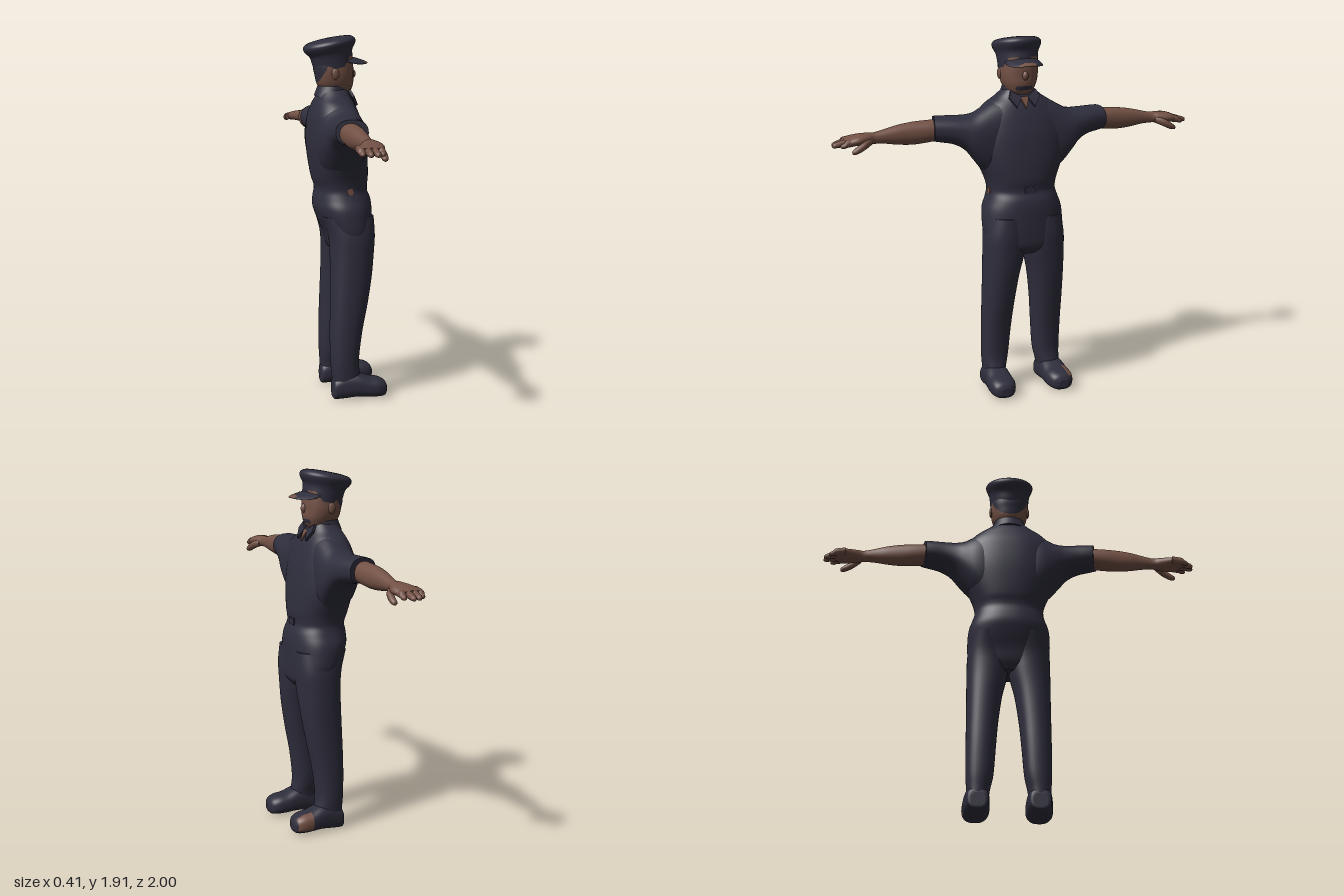
import * as THREE from 'three';

const navy = new THREE.MeshStandardMaterial({ color: 0x2f2e3d });
navy.name = 'navy cloth';
const skin = new THREE.MeshStandardMaterial({ color: 0x735145 });
skin.name = 'brown skin';

// Smooth closed loft. Each section is [t, uMin, uMax, vMin, vMax] along an axis:
// y -> (u, v) = (x, z);  z -> (x, y);  x -> (y, z). Sections run up the axis.
function loft(axis, sections, power = 2, seg = 40, steps = 5) {
  const rows = [], last = sections.length - 1;
  const at = i => sections[Math.min(last, Math.max(0, i))];
  for (let i = 0; i < last; i++) {
    for (let s = 0; s < steps + (i === last - 1 ? 1 : 0); s++) {
      const f = s / steps;
      rows.push(at(i).map((b, c) => {
        const a = at(i - 1)[c], d = at(i + 1)[c], e = at(i + 2)[c];
        return b + 0.5 * f * (d - a + f * (2 * a - 5 * b + 4 * d - e + f * (3 * (b - d) + e - a)));
      }));
    }
  }
  const pos = [], idx = [];
  const put = (t, u, v) => pos.push(...(axis === 'y' ? [u, t, v] : axis === 'z' ? [u, v, t] : [t, u, v]));
  const ring = ([t, u0, u1, v0, v1]) => {
    for (let j = 0; j < seg; j++) {
      const a = j / seg * Math.PI * 2, c = Math.cos(a), s = Math.sin(a) * (axis === 'y' ? -1 : 1);
      const round = q => Math.sign(q) * Math.abs(q) ** (2 / power);
      put(t, (u0 + u1 + (u1 - u0) * round(c)) / 2, (v0 + v1 + (v1 - v0) * round(s)) / 2);
    }
  };
  rows.forEach(ring);
  for (let k = 0; k < rows.length - 1; k++) {
    for (let j = 0; j < seg; j++) {
      const a = k * seg + j, b = k * seg + (j + 1) % seg;
      idx.push(a, b, b + seg, a, b + seg, a + seg);
    }
  }
  // end lids with their own rings, so the rims stay crisp
  [rows[0], rows[rows.length - 1]].forEach((r, end) => {
    const base = pos.length / 3;
    ring(r);
    put(r[0], (r[1] + r[2]) / 2, (r[3] + r[4]) / 2);
    for (let j = 0; j < seg; j++) {
      const a = base + j, b = base + (j + 1) % seg;
      idx.push(base + seg, end ? a : b, end ? b : a);
    }
  });
  const g = new THREE.BufferGeometry();
  g.setAttribute('position', new THREE.Float32BufferAttribute(pos, 3));
  g.setIndex(idx);
  g.computeVertexNormals();
  return g;
}

// Mirror a geometry across z and restore its winding
function mirrorZ(geo) {
  const g = geo.clone().scale(1, 1, -1), i = g.index.array;
  for (let k = 0; k < i.length; k += 3) [i[k], i[k + 1]] = [i[k + 1], i[k]];
  g.computeVertexNormals();
  return g;
}

// Split triangles into [navy, skin] groups by a rule on the triangle centre
function split(geo, isSkin) {
  const p = geo.attributes.position, parts = [[], []], i = geo.index.array;
  for (let k = 0; k < i.length; k += 3) {
    const t = [i[k], i[k + 1], i[k + 2]];
    const mid = f => (p[f](t[0]) + p[f](t[1]) + p[f](t[2])) / 3;
    parts[isSkin(mid('getX'), mid('getY'), mid('getZ')) ? 1 : 0].push(...t);
  }
  geo.setIndex([...parts[0], ...parts[1]]);
  geo.addGroup(0, parts[0].length, 0);
  geo.addGroup(parts[0].length, parts[1].length, 1);
  return geo;
}

export function createModel() {
  const model = new THREE.Group();
  const add = (name, geo, mat) => {
    const m = new THREE.Mesh(geo, mat);
    m.name = name;
    model.add(m);
    return m;
  };
  const pair = (name, geo, mat) => {
    add('left' + name, geo, mat);
    add('right' + name, mirrorZ(geo), mat);
  };
  const ball = (rx, ry, rz, x, y, z) => new THREE.SphereGeometry(1, 24, 16).scale(rx, ry, rz).translate(x, y, z);

  // Hips, waist and shirt
  const torso = [
    [0.77, -0.06, 0.11, 0.06], [0.81, -0.085, 0.14, 0.19], [0.88, -0.105, 0.146, 0.217], [0.95, -0.135, 0.146, 0.219],
    [1.01, -0.155, 0.145, 0.213], [1.06, -0.155, 0.138, 0.195], [1.1, -0.148, 0.122, 0.184],
    [1.13, -0.152, 0.122, 0.186], [1.17, -0.165, 0.126, 0.197], [1.25, -0.178, 0.122, 0.23],
    [1.33, -0.186, 0.113, 0.252], [1.41, -0.186, 0.1, 0.252], [1.49, -0.178, 0.078, 0.235],
    [1.55, -0.158, 0.055, 0.185], [1.59, -0.14, 0.035, 0.125], [1.63, -0.12, 0.02, 0.08],
  ].map(([y, b, f, w]) => [y, b, f, -w, w]);
  add('torso', loft('y', torso, 2.3, 56), navy);
  add('beltBuckle', new THREE.BoxGeometry(0.012, 0.035, 0.06).translate(0.121, 1.115, 0), navy);
  add('hipSpot', new THREE.CylinderGeometry(0.018, 0.018, 0.009, 12).rotateX(Math.PI / 2).translate(0, 1.105, 0.183), skin);

  // Trouser legs
  pair('Leg', loft('y', [
    [0.06, -0.088, 0.055, 0.103, 0.213], [0.12, -0.092, 0.06, 0.095, 0.216], [0.2, -0.098, 0.052, 0.078, 0.22],
    [0.35, -0.1, 0.07, 0.066, 0.221], [0.5, -0.096, 0.1, 0.053, 0.221], [0.65, -0.092, 0.125, 0.032, 0.221],
    [0.77, -0.092, 0.138, 0.004, 0.221], [0.87, -0.1, 0.145, 0, 0.218], [0.97, -0.13, 0.14, 0.01, 0.2],
  ], 2.3), navy);

  // Shoes
  const shoe = loft('x', [
    [-0.09, 0.012, 0.085, 0.12, 0.195], [-0.08, 0, 0.11, 0.104, 0.212], [-0.02, 0.002, 0.14, 0.098, 0.22],
    [0.04, 0.008, 0.138, 0.094, 0.228], [0.1, 0.005, 0.115, 0.092, 0.234], [0.15, 0.004, 0.106, 0.096, 0.234],
    [0.185, 0.008, 0.09, 0.112, 0.22], [0.2, 0.025, 0.065, 0.14, 0.19],
  ], 2.6);
  add('leftShoe', shoe, navy);
  add('rightShoe', split(mirrorZ(shoe), (x, y, z) => x > 0.1 && x < 0.185 && z < -0.195 && y > 0.025), [navy, skin]);

  // Short sleeves, with a slanted hem
  const sleeve = loft('z', [
    [0.06, -0.15, 0.07, 1.24, 1.6], [0.14, -0.168, 0.075, 1.17, 1.572], [0.2, -0.168, 0.075, 1.205, 1.54],
    [0.25, -0.155, 0.07, 1.265, 1.514], [0.3, -0.14, 0.058, 1.325, 1.506], [0.36, -0.135, 0.045, 1.358, 1.506],
    [0.43, -0.137, 0.03, 1.372, 1.507], [0.465, -0.137, 0.022, 1.378, 1.507],
  ], 2.3);
  const sp = sleeve.attributes.position;
  for (let i = 0; i < sp.count; i++) sp.setZ(i, sp.getZ(i) + 0.22 * (sp.getX(i) + 0.06));
  sleeve.computeVertexNormals();
  pair('Sleeve', sleeve, navy);

  // Bare forearms and palms
  pair('Arm', loft('z', [
    [0.4, -0.118, 0, 1.385, 1.49], [0.5, -0.118, -0.006, 1.374, 1.488], [0.58, -0.113, -0.014, 1.368, 1.484],
    [0.66, -0.105, -0.02, 1.374, 1.473], [0.73, -0.093, -0.026, 1.385, 1.457], [0.785, -0.088, -0.028, 1.388, 1.446],
    [0.82, -0.1, -0.015, 1.386, 1.447], [0.87, -0.122, 0, 1.386, 1.443], [0.91, -0.142, -0.008, 1.385, 1.432],
    [0.935, -0.14, -0.02, 1.388, 1.42],
  ], 2.2, 32), skin);

  // Fingers: [x, tip z]
  [[-0.028, 0.965], [-0.06, 1], [-0.093, 0.995], [-0.125, 0.965]].forEach(([x, tip], i) => {
    pair('Finger' + (i + 1), loft('z', [
      [0.88, x - 0.018, x + 0.018, 1.39, 1.43], [0.93, x - 0.018, x + 0.018, 1.384, 1.422],
      [tip - 0.02, x - 0.014, x + 0.018, 1.38, 1.409], [tip - 0.005, x - 0.008, x + 0.013, 1.381, 1.402],
      [tip, x - 0.001, x + 0.006, 1.386, 1.394],
    ], 2, 14, 3), skin);
  });
  pair('Thumb', loft('z', [
    [0.8, -0.05, -0.02, 1.39, 1.425], [0.84, -0.03, 0.008, 1.372, 1.415], [0.88, -0.02, 0.015, 1.354, 1.392],
    [0.905, -0.016, 0.01, 1.35, 1.375], [0.912, -0.006, 0.002, 1.357, 1.366],
  ], 2, 16, 4), skin);

  // Head and neck, with dark hair behind and a dark mouth
  const head = loft('y', [
    [1.55, -0.1, 0.025, 0.062], [1.6, -0.11, 0.028, 0.066], [1.625, -0.12, 0.044, 0.073], [1.66, -0.138, 0.054, 0.09],
    [1.7, -0.147, 0.054, 0.1], [1.74, -0.155, 0.054, 0.102], [1.8, -0.155, 0.05, 0.1],
  ].map(([y, b, f, w]) => [y, b, f, -w, w]), 2.2, 64, 8);
  const hair = (x, y) => x < -0.14 + (y - 1.66) * 0.5 && y > 1.6;
  const mouth = (x, y, z) => x > 0.015 && Math.abs(z) < 0.045 && y > 1.63 && y < 1.652;
  add('head', split(head, (x, y, z) => !hair(x, y) && !mouth(x, y, z)), [navy, skin]);
  add('nose', ball(0.018, 0.024, 0.016, 0.052, 1.705, 0), skin);
  pair('Ear', ball(0.02, 0.03, 0.01, -0.06, 1.71, 0.1), skin);

  // Collar, its folded points and the open neck
  add('collar', loft('y', [
    [-0.06, -0.085, 0.085, -0.1, 0.1], [-0.02, -0.083, 0.083, -0.09, 0.09], [0.035, -0.08, 0.078, -0.08, 0.08],
  ]).rotateZ(-0.32).translate(-0.052, 1.625, 0), navy);
  const plate = (points, depth, x) => new THREE.ExtrudeGeometry(
    new THREE.Shape(points.map(p => new THREE.Vector2(...p))), { depth, bevelEnabled: false })
    .rotateY(Math.PI / 2).rotateZ(0.5).translate(x, 1.57, 0);
  for (const s of [1, -1]) {
    add(s < 0 ? 'leftCollarPoint' : 'rightCollarPoint',
      plate([[s * 0.015, 0.02], [s * 0.05, -0.035], [s * 0.085, 0.02], [s * 0.07, 0.06]], 0.014, 0.042), navy);
  }
  add('openNeck', plate([[0, -0.04], [0.026, 0.025], [-0.026, 0.025]], 0.009, 0.046), skin);

  // Peaked cap: band and crown tilted up toward the front
  add('cap', loft('y', [
    [-0.065, 0.103, 0.103], [-0.03, 0.108, 0.106], [0.008, 0.113, 0.111], [0.035, 0.132, 0.122], [0.052, 0.139, 0.128],
    [0.066, 0.136, 0.126], [0.08, 0.118, 0.108], [0.087, 0.07, 0.065], [0.089, 0.004, 0.004],
  ].map(([y, a, b]) => [y, -a, a, -b, b]), 2, 48).rotateZ(0.2).translate(-0.06, 1.803, 0), navy);

  // Visor, drooping at the sides, with a bare patch at the tip
  const visor = new THREE.SphereGeometry(1, 48, 24).scale(0.1, 0.012, 0.098).rotateZ(-0.22);
  const vp = visor.attributes.position;
  for (let i = 0; i < vp.count; i++) vp.setY(i, vp.getY(i) - 2.2 * vp.getZ(i) ** 2);
  visor.translate(0.034, 1.785, 0).computeVertexNormals();
  add('visor', split(visor, (x, y, z) => x > 0.104 && z > -0.035 && z < 0.055), [navy, skin]);

  return model;
}
